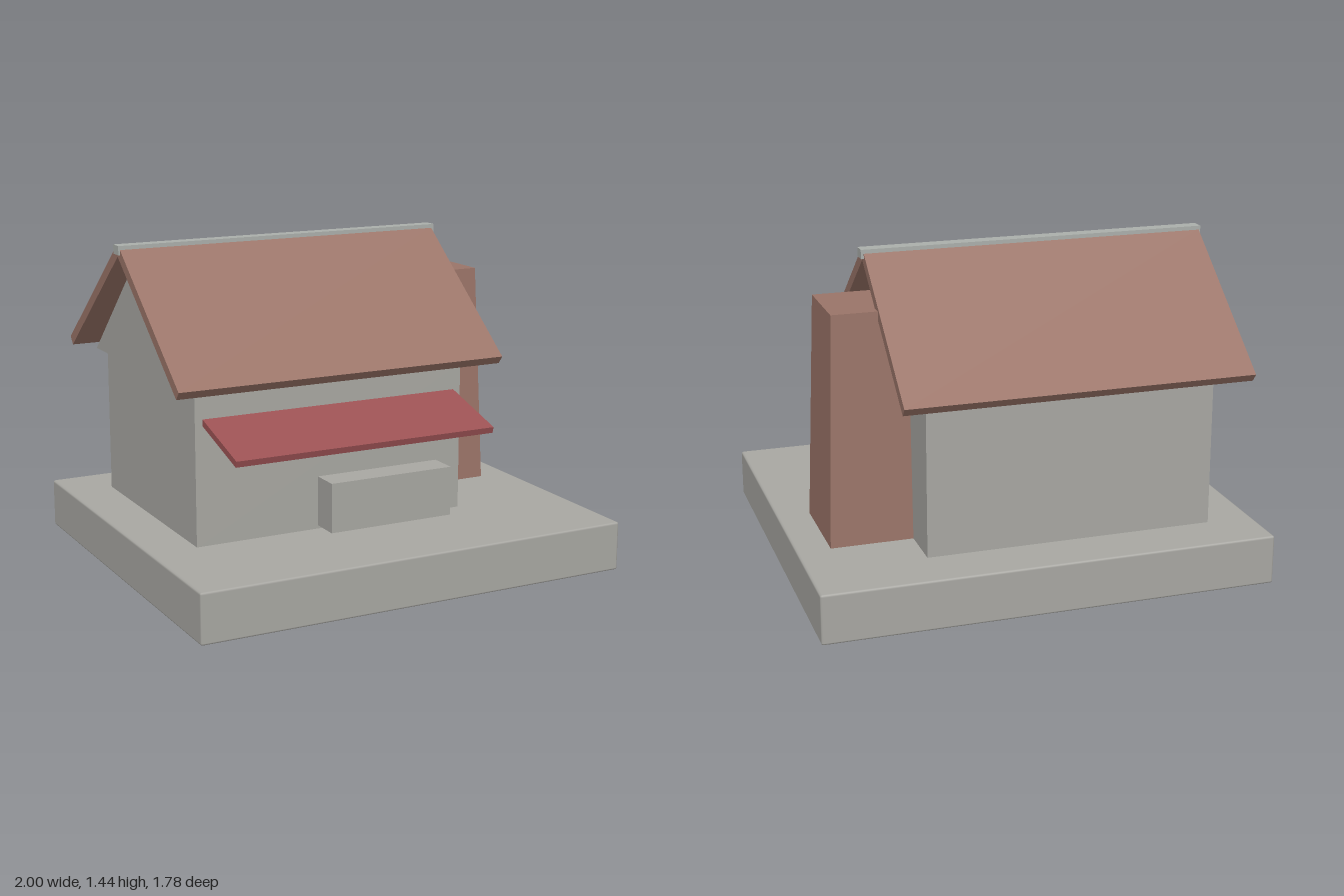
import * as THREE from 'three';
import { RoundedBoxGeometry } from 'three/addons/geometries/RoundedBoxGeometry.js';

const mat = (name, color) => {
  const m = new THREE.MeshStandardMaterial({ color });
  m.name = name;
  return m;
};

export function createModel() {
  const model = new THREE.Group();
  model.name = 'cottage';
  const stone = mat('stone grey', 0xa8a7a2);
  const clay = mat('clay brown', 0x9a7468);
  const cloth = mat('awning red', 0x9c5254);
  const trim = mat('pale trim', 0xabafab);

  const add = (name, geometry, material, x, y, z) => {
    const mesh = new THREE.Mesh(geometry, material);
    mesh.name = name;
    mesh.position.set(x, y, z);
    model.add(mesh);
    return mesh;
  };
  // Box given by its extents on each axis
  const block = (name, material, [x0, x1], [y0, y1], [z0, z1]) =>
    add(name, new THREE.BoxGeometry(x1 - x0, y1 - y0, z1 - z0), material,
      (x0 + x1) / 2, (y0 + y1) / 2, (z0 + z1) / 2);

  const midX = -0.15, ridgeZ = -0.145;

  // Plinth with softened edges
  add('plinth', new RoundedBoxGeometry(2, 0.22, 1.78, 1, 0.01), stone, 0, 0.11, 0);

  // House body and the counter on its front
  block('walls', stone, [-0.79, 0.49], [0.215, 0.885], [-0.655, 0.365]);
  block('counter', stone, [-0.22, 0.37], [0.235, 0.455], [0.3, 0.495]);

  // Triangular gable slabs, one at each end
  const triangle = new THREE.Shape([
    new THREE.Vector2(-0.545, 0), new THREE.Vector2(0.545, 0), new THREE.Vector2(0, 0.5),
  ]);
  const gable = new THREE.ExtrudeGeometry(triangle, { depth: 0.08, bevelEnabled: false });
  gable.translate(0, 0, -0.04).rotateY(Math.PI / 2);
  for (const side of [-1, 1]) {
    add(side < 0 ? 'rightGable' : 'leftGable', gable, stone, midX + side * 0.64, 0.885, ridgeZ);
  }

  // Two pitched roof slabs meeting below the ridge cap
  const pitch = Math.atan2(0.495, 0.625);
  for (const side of [-1, 1]) {
    const slab = add(side > 0 ? 'frontRoof' : 'backRoof', new THREE.BoxGeometry(1.535, 0.044, 0.8),
      clay, midX, 1.16, ridgeZ + side * 0.326);
    slab.rotation.x = side * pitch;
  }
  block('ridgeCap', trim, [-0.925, 0.63], [1.4, 1.44], [-0.175, -0.115]);

  // Tapered square chimney
  const taper = new THREE.CylinderGeometry(0.177 * Math.SQRT2, 0.213 * Math.SQRT2, 1.015, 4, 1)
    .rotateY(Math.PI / 4).toNonIndexed();
  taper.computeVertexNormals();
  add('chimney', taper, clay, 0.64, 0.7225, -0.222);

  // Sloping awning over the front
  const awning = add('awning', new THREE.BoxGeometry(1.21, 0.028, 0.37), cloth, midX, 0.71, 0.52);
  awning.rotation.x = 0.283;

  return model;
}
